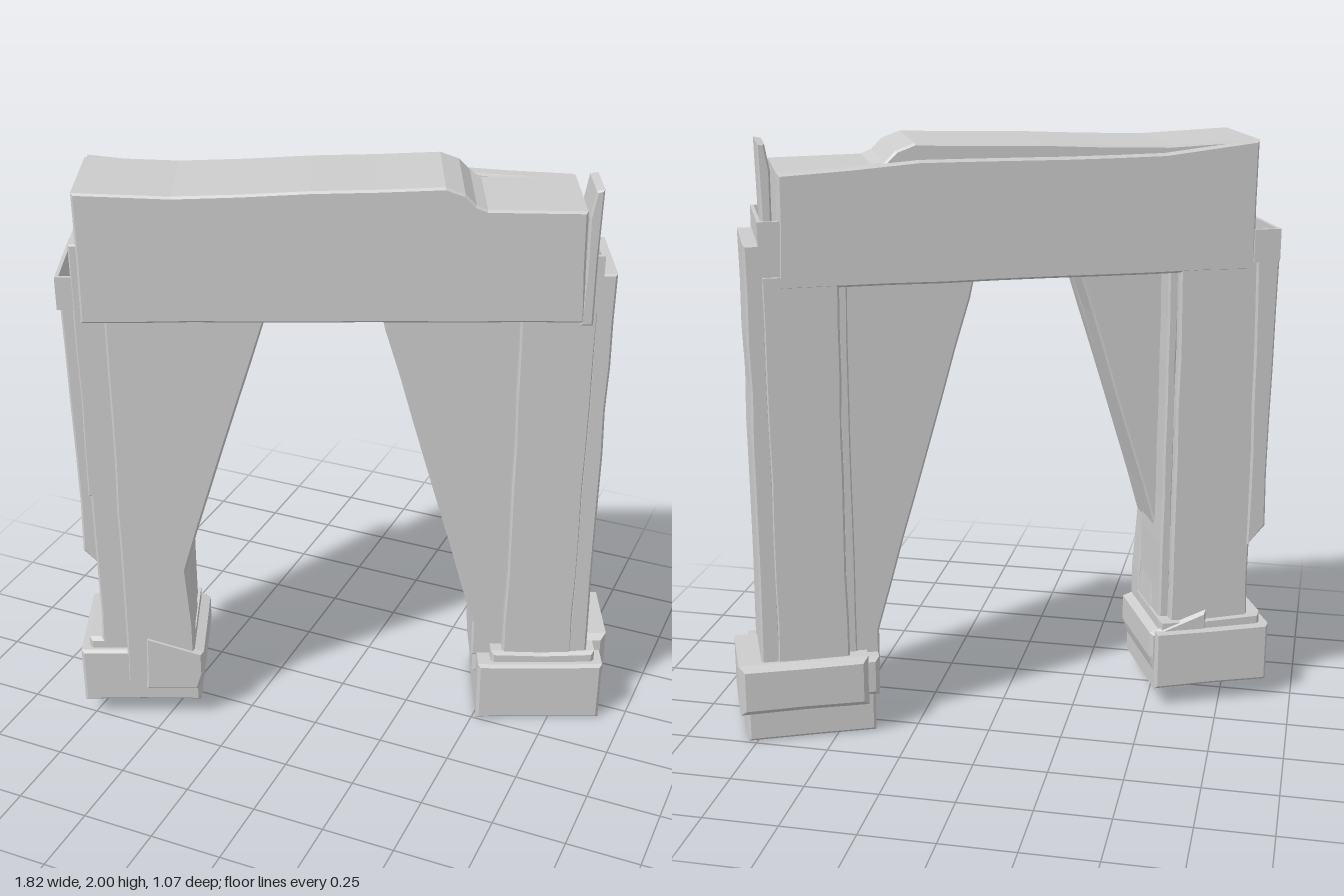
import * as THREE from 'three';

export function createModel() {
  const model = new THREE.Group();
  const arch = new THREE.Group();
  arch.name = 'stoneArch';
  arch.rotation.y = 0.408;
  model.add(arch);
  const stone = new THREE.MeshStandardMaterial({ color: 0xcccccc });
  stone.name = 'grey stone';

  let seed = 7;
  const random = () => (seed = (seed * 16807) % 2147483647) / 2147483647;

  const add = (name, geometry) => {
    const mesh = new THREE.Mesh(geometry, stone);
    mesh.name = name;
    arch.add(mesh);
  };

  // Outline with small chips worn inward (corners run anticlockwise)
  function chipped(points, chip) {
    const out = [];
    points.forEach(([x, y], i) => {
      const [x2, y2] = points[(i + 1) % points.length];
      const dx = x2 - x, dy = y2 - y, len = Math.hypot(dx, dy);
      const n = Math.max(1, Math.floor(len / 0.16));
      out.push(new THREE.Vector2(x, y));
      for (let k = 1; k < n; k++) {
        const t = k / n, d = chip * random();
        out.push(new THREE.Vector2(x + dx * t - (dy / len) * d, y + dy * t + (dx / len) * d));
      }
    });
    return out;
  }

  // Worn slab: outline in x and y, running from z0 to z1, with chamfered edges
  function slab(name, points, z0, z1, chip = 0.006, bevel = 0.007) {
    const geometry = new THREE.ExtrudeGeometry(new THREE.Shape(chipped(points, chip)), {
      depth: z1 - z0 - 2 * bevel, bevelThickness: bevel, bevelSize: bevel,
      bevelOffset: -bevel, bevelSegments: 1, steps: 1,
    });
    geometry.translate(0, 0, z0 + bevel);
    add(name, geometry);
  }
  const block = (name, x0, x1, y0, y1, z0, z1, chip, bevel) =>
    slab(name, [[x0, y0], [x1, y0], [x1, y1], [x0, y1]], z0, z1, chip, bevel);

  // Hollow rim around the open top of a pillar casing
  function rim(name, x0, x1, y0, y1, z0, z1, wall = 0.012) {
    const rect = (a, b, c, d) => [[a, c], [b, c], [b, d], [a, d]].map(p => new THREE.Vector2(...p));
    const shape = new THREE.Shape(rect(x0, x1, -z1, -z0));
    shape.holes.push(new THREE.Path(rect(x0 + wall, x1 - wall, -z1 + wall, -z0 - wall).reverse()));
    const geometry = new THREE.ExtrudeGeometry(shape, { depth: y1 - y0, bevelEnabled: false });
    geometry.rotateX(-Math.PI / 2).translate(0, y0, 0);
    add(name, geometry);
  }

  // Lintel with a broken step in its top
  slab('lintel', [[-0.822, 1.55], [0.757, 1.55], [0.745, 1.92], [0.44, 1.925], [0.405, 1.94],
    [0.37, 1.975], [0.31, 1.997], [-0.1, 1.985], [-0.52, 1.968], [-0.822, 1.98]], -0.135, 0.205, 0.003);
  slab('lintelBackLedge', [[-0.815, 1.553], [0.75, 1.553], [0.742, 1.915], [0.3, 1.945],
    [-0.5, 1.945], [-0.815, 1.98]], -0.158, -0.1, 0.003);
  slab('lintelHorn', [[0.745, 1.54], [0.785, 1.54], [0.79, 1.99], [0.765, 1.985], [0.75, 1.9]],
    0.035, 0.203, 0.004, 0.006);

  // Right pillar with its open casing
  block('rightPillar', 0.56, 0.805, 0.24, 1.6, -0.157, 0.17);
  block('rightPillarFacing', 0.79, 0.857, 0.26, 1.7, -0.153, 0.168);
  rim('rightPillarRim', 0.735, 0.81, 1.58, 1.77, -0.155, 0.19);

  // Left pillar, its casing stops short of the base
  block('leftPillar', -0.845, -0.56, 0.28, 1.6, -0.157, 0.168);
  slab('leftPillarFacing', [[-0.83, 0.58], [-0.82, 1.6], [-0.9, 1.6], [-0.893, 0.65]], -0.165, 0.11);
  rim('leftPillarRim', -0.9, -0.81, 1.58, 1.69, -0.165, 0.165);
  block('leftPillarPlate', -0.85, -0.81, 0.9, 1.8, 0.02, 0.168, 0.004, 0.005);

  // Narrow stone strips between pillars and braces
  for (const [name, x0, x1] of [['rightStrip', 0.53, 0.57], ['leftStrip', -0.57, -0.53]])
    block(name, x0, x1, 0.27, 1.56, -0.125, 0.12, 0.004);

  // Slanted braces under the lintel
  slab('rightBrace', [[0.455, 0.22], [0.6, 0.22], [0.6, 1.56], [0.12, 1.56], [0.135, 1.49], [0.455, 0.36]],
    -0.12, 0.125, 0.004);
  slab('leftBrace', [[-0.76, 0.15], [-0.52, 0.15], [-0.52, 0.4], [-0.535, 0.62], [-0.245, 1.56], [-0.75, 1.56]],
    0.11, 0.193, 0.004);
  slab('leftBraceCore', [[-0.6, 0.25], [-0.52, 0.25], [-0.535, 0.62], [-0.245, 1.56], [-0.6, 1.56]],
    -0.04, 0.13, 0.004);

  // Right base with the band wrapped round its back
  block('rightBase', 0.475, 0.912, 0, 0.23, -0.15, 0.205, 0.003, 0.01);
  block('rightBaseBand', 0.5, 0.935, 0.11, 0.29, -0.188, 0.11, 0.006, 0.02);
  block('rightBaseInnerBand', 0.462, 0.53, 0.14, 0.28, -0.17, 0.12, 0.006, 0.015);
  block('rightBaseCollar', 0.52, 0.885, 0.2, 0.27, -0.17, 0.18, 0.006, 0.012);

  // Left base with a worn wedge on its inner side
  block('leftBase', -0.918, -0.505, 0.07, 0.285, -0.18, 0.19, 0.003, 0.01);
  block('leftBaseCollar', -0.89, -0.52, 0.26, 0.325, -0.165, 0.168, 0.006, 0.012);
  slab('leftBaseWedge', [[-0.7, 0.12], [-0.51, 0.12], [-0.488, 0.19], [-0.488, 0.28], [-0.69, 0.35]],
    -0.17, 0.198, 0.004, 0.012);

  return model;
}
